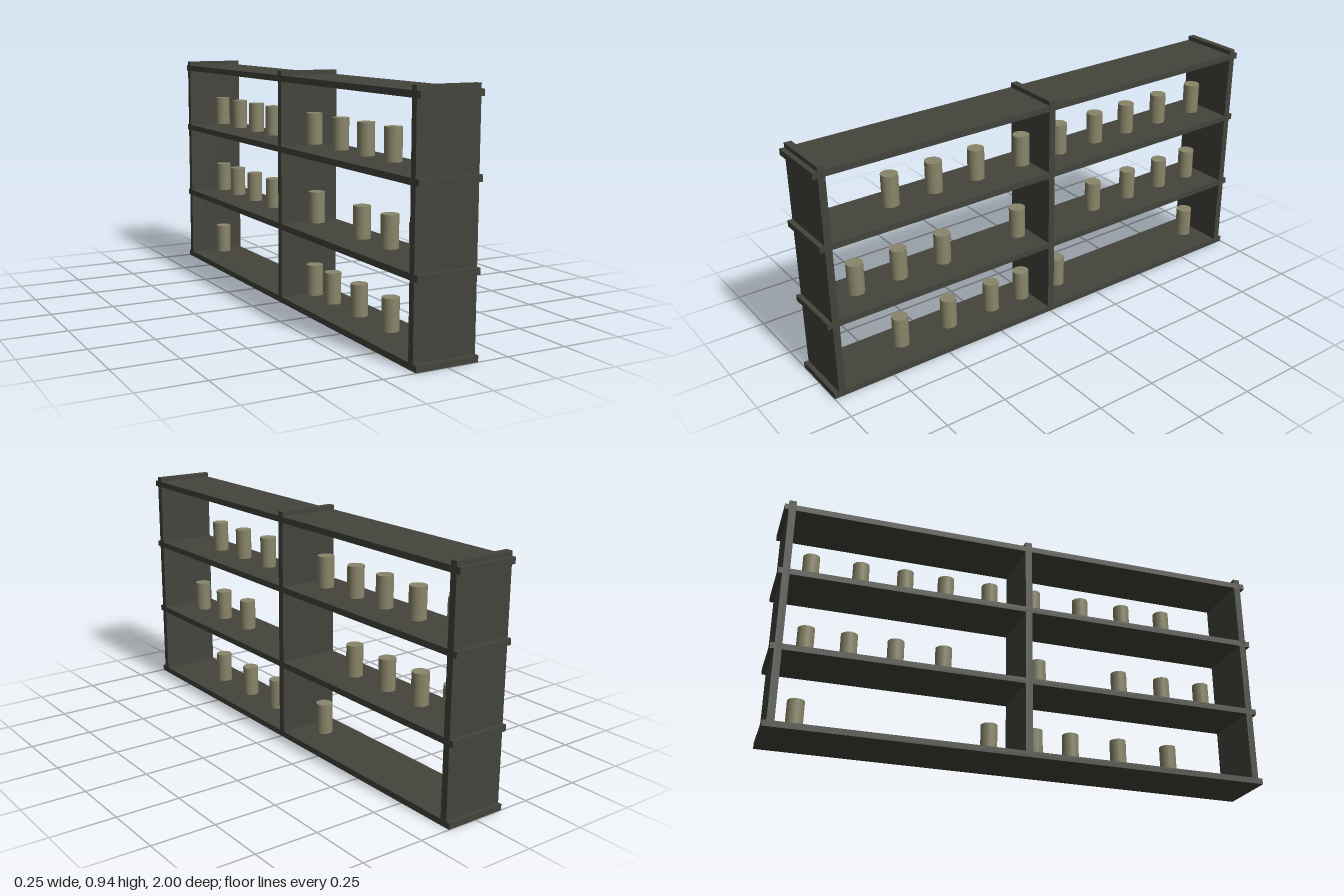
import * as THREE from 'three';

export function createModel() {
  const group = new THREE.Group();
  const wood = new THREE.MeshStandardMaterial({ color: 0x44443d });
  wood.name = 'darkWood';
  const tin = new THREE.MeshStandardMaterial({ color: 0x8a866a });
  tin.name = 'oliveTin';

  const add = (name, geometry, material, x, y, z) => {
    const mesh = new THREE.Mesh(geometry, material);
    mesh.name = name;
    mesh.position.set(x, y, z);
    group.add(mesh);
  };

  const depth = 0.25, boardThickness = 0.024, height = 0.938;

  // Four long horizontal boards
  const boardGeometry = new THREE.BoxGeometry(depth, boardThickness, 2);
  for (const y of [0.012, 0.314, 0.627, 0.908]) add('shelfBoard', boardGeometry, wood, 0, y, 0);

  // End uprights and central divider, rising just above the top board
  const uprightGeometry = new THREE.BoxGeometry(depth, height, 0.028);
  for (const z of [0.967, -0.002, -0.97]) add('upright', uprightGeometry, wood, 0, height / 2, z);

  // Unevenly spaced cans on each shelf, sitting a hair above the board
  const canHeight = 0.124;
  const canGeometry = new THREE.CylinderGeometry(0.033, 0.033, canHeight, 24);
  const rows = [
    { y: 0.034, z: [0.642, 0.42, 0.214, 0.062, -0.126, -0.874] },
    { y: 0.335, z: [0.815, 0.631, 0.436, 0.078, -0.318, -0.511, -0.695, -0.861] },
    { y: 0.648, z: [0.647, 0.46, 0.27, 0.056, -0.131, -0.318, -0.487, -0.668, -0.866] },
  ];
  for (const row of rows)
    for (const z of row.z) add('can', canGeometry, tin, 0, row.y + canHeight / 2, z);

  return group;
}
